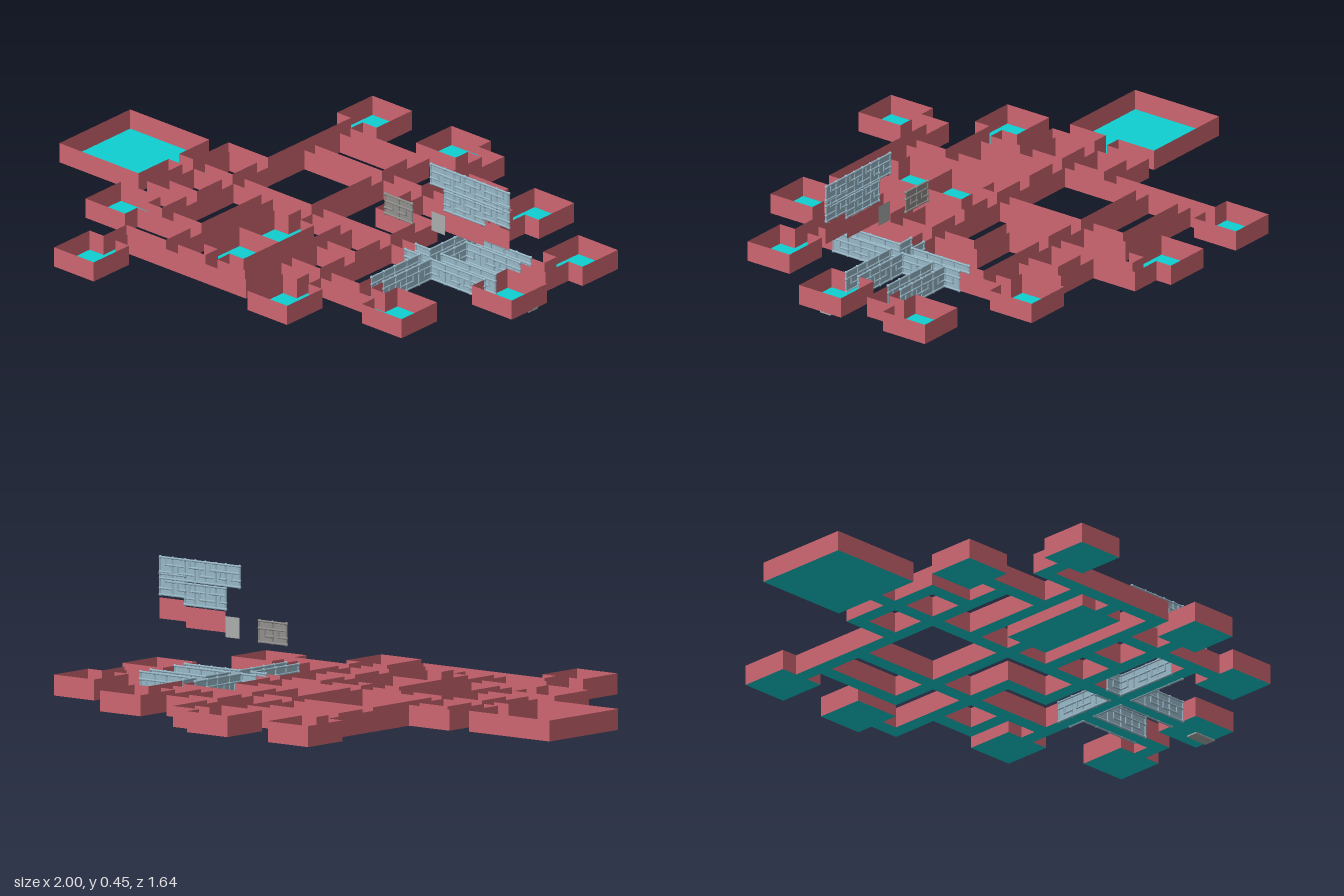
import * as THREE from 'three';
import { mergeGeometries } from 'three/addons/utils/BufferGeometryUtils.js';

const CELL = 2 / 11, FLOOR = 0.009, WALL = 0.4 * CELL, HALF = 0.15 * CELL;

// Corridors as straight runs between grid cells [column, row]
const RUNS = [
  [3, 0, 3, 6], [3, 1, 5, 1], [5, 1, 5, 5], [3, 2, 8, 2], [1, 4, 10, 4],
  [5, 0, 6, 0], [6, 0, 6, 3], [6, 1, 7, 1], [7, 1, 7, 2], [6, 3, 7, 3],
  [7, 3, 7, 7], [6, 5, 7, 5], [6, 4, 6, 7], [3, 7, 6, 7], [3, 7, 3, 8],
  [4, 4, 4, 7], [2, 6, 4, 6], [6, 6, 9, 6], [5, 6, 5, 7], [8, 1, 8, 6],
  [8, 3, 10, 3], [10, 2, 10, 3], [2, 3, 2, 5], [2, 3, 3, 3], [2, 5, 3, 5],
];
const ROOMS = new Set(['3,0', '5,0', '8,1', '10,2', '10,4', '9,6', '7,7', '3,8', '2,6', '5,5', '5,6']);
const PIPED = new Set(['8,3', '8,4', '8,5', '9,3', '9,4']);
const DIRS = [[1, 0], [0, 1], [-1, 0], [0, -1]];

// Upright sheet between two floor points
function sheet(length, height) {
  return new THREE.PlaneGeometry(length, height).translate(0, height / 2, 0);
}

// Lattice of pipes with ball joints on a thin backing
function pipePanel(length) {
  const parts = [sheet(length, WALL)];
  const cols = Math.max(1, Math.round(length / 0.045));
  const step = length / cols;
  const rows = [0, 0.3, 0.65, 1].map((t) => t * WALL);
  const bar = (len, x, y, upright) => {
    const g = new THREE.CylinderGeometry(0.004, 0.004, len, 6, 1);
    if (!upright) g.rotateZ(Math.PI / 2);
    parts.push(g.translate(x, y, 0));
  };
  for (let c = 0; c <= cols; c++) {
    const x = -length / 2 + c * step;
    bar(WALL, x, WALL / 2, true);
    rows.forEach((y, r) => {
      if (r === 0 || r === 3 || (r + c) % 2) parts.push(new THREE.SphereGeometry(0.0065, 6, 4).translate(x, y, 0));
    });
    if (c === cols) continue;
    rows.forEach((y, r) => {
      // inner rows alternate between full pipes and short stubs
      const full = r === 0 || r === 3 || (r + c) % 2 === 0;
      bar(full ? step : step * 0.6, x + step * (full ? 0.5 : 0.3), y, false);
    });
    bar(WALL * 0.35, x + step * 0.55, WALL * (c % 2 ? 0.82 : 0.47), true);
  }
  return mergeGeometries(parts);
}

export function createModel() {
  const group = new THREE.Group();
  const paint = (name, color) => {
    const m = new THREE.MeshStandardMaterial({ color, side: THREE.DoubleSide });
    m.name = name;
    return m;
  };
  const red = paint('wall red', 0xcd6670);
  const cyan = paint('floor cyan', 0x0fcfd0);
  const blue = paint('pipe blue grey', 0x98b8c8);
  const grey = paint('plate grey', 0xabadad);
  const darkGrey = paint('pipe dark grey', 0x918f8c);
  const add = (name, geometry, material) => {
    const mesh = new THREE.Mesh(geometry, material);
    mesh.name = name;
    group.add(mesh);
    return mesh;
  };

  // Expand runs into cells and links between neighbours
  const cells = new Set(ROOMS), links = new Set();
  for (const [x1, z1, x2, z2] of RUNS) {
    const dx = Math.sign(x2 - x1), dz = Math.sign(z2 - z1);
    for (let x = x1, z = z1; ; x += dx, z += dz) {
      cells.add(`${x},${z}`);
      if (x === x2 && z === z2) break;
      links.add(`${x},${z},${dx},${dz}`);
      links.add(`${x + dx},${z + dz},${-dx},${-dz}`);
    }
  }
  cells.delete('1,4');

  const floors = [], walls = [], pipes = [];
  const floorPatch = (x, z, w, d) =>
    floors.push(new THREE.PlaneGeometry(w, d).rotateX(-Math.PI / 2).translate(x, FLOOR, z));

  // One cell: floor plus walls, with an opening toward each linked side
  function buildCell(cx, cz, half, isRoom, isLinked, piped) {
    const core = isRoom ? half : HALF;
    floorPatch(cx, cz, core * 2, core * 2);
    for (const [dx, dz] of DIRS) {
      const wall = (u1, v1, u2, v2) => {
        const ax = u1 * dx - v1 * dz, az = u1 * dz + v1 * dx;
        const bx = u2 * dx - v2 * dz, bz = u2 * dz + v2 * dx;
        const len = Math.hypot(bx - ax, bz - az);
        const g = piped ? pipePanel(len) : sheet(len, WALL);
        g.rotateY(-Math.atan2(bz - az, bx - ax));
        g.translate(cx + (ax + bx) / 2, FLOOR, cz + (az + bz) / 2);
        (piped ? pipes : walls).push(g);
      };
      if (!isLinked(dx, dz)) {
        wall(core, -core, core, core);
      } else if (isRoom) {
        wall(half, HALF, half, half);
        wall(half, -half, half, -HALF);
      } else {
        const mid = (HALF + half) / 2, len = half - HALF;
        floorPatch(cx + dx * mid, cz + dz * mid, dx ? len : HALF * 2, dz ? len : HALF * 2);
        for (const s of [-HALF, HALF]) wall(HALF, s, half, s);
      }
    }
  }

  for (const key of cells) {
    const [i, j] = key.split(',').map(Number);
    buildCell((i - 5) * CELL, (j - 4) * CELL, CELL / 2, ROOMS.has(key),
      (dx, dz) => links.has(`${key},${dx},${dz}`), PIPED.has(key));
  }
  // Large hall at the right end, opening toward the main corridor
  buildCell(-4.5 * CELL, 0, CELL, true, (dx) => dx === 1, false);

  add('floor', mergeGeometries(floors), cyan);
  add('walls', mergeGeometries(walls), red);
  add('pipeWalls', mergeGeometries(pipes), blue);

  // Grey floor plate in the left end room
  add('floorPlate', new THREE.BoxGeometry(0.09, 0.009, 0.045), grey).position.set(0.955, 0.0085, -0.022);

  // Loose wall panels hovering above the main corridor: [x1, x2, bottom]
  const hover = (name, make, material, list) => {
    for (const [x1, x2, y] of list) add(name, make(x2 - x1), material).position.set((x1 + x2) / 2, y, HALF);
  };
  const plain = (len) => sheet(len, WALL);
  hover('hoveringPipePanel', pipePanel, blue, [
    [0.573, 0.636, 0.37], [0.636, 0.818, 0.37], [0.818, 0.93, 0.37],
    [0.636, 0.818, 0.288], [0.818, 0.93, 0.313],
  ]);
  hover('hoveringWallPanel', plain, red, [[0.636, 0.815, 0.208], [0.815, 0.933, 0.229]]);
  hover('hoveringPlate', plain, grey, [[0.573, 0.636, 0.192]]);
  hover('hoveringGreyPipePanel', pipePanel, darkGrey, [[0.362, 0.425, 0.191], [0.425, 0.484, 0.191]]);

  return group;
}
